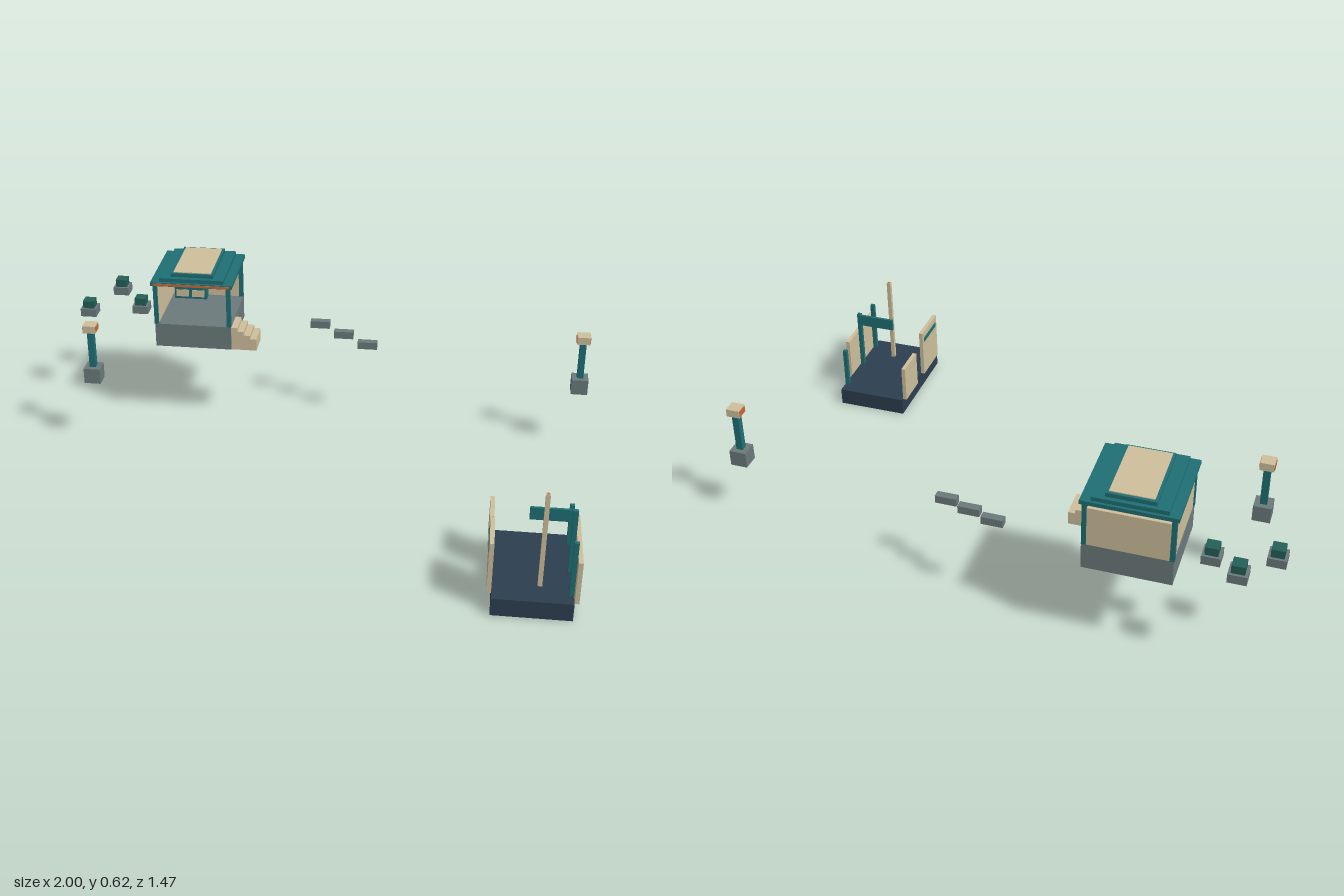
import * as THREE from 'three';

const paint = (c) => new THREE.MeshStandardMaterial({ color: c });
const teal = paint(0x1f6f75), navy = paint(0x2c3e50), stone = paint(0x6b7a7c);
const cream = paint(0xcfc09c), orange = paint(0xc8693a), leaf = paint(0x245f57);

// Box given by its extents on each axis
function block(parent, name, mat, [x0, x1], [y0, y1], [z0, z1]) {
  const mesh = new THREE.Mesh(new THREE.BoxGeometry(x1 - x0, y1 - y0, z1 - z0), mat);
  mesh.position.set((x0 + x1) / 2, (y0 + y1) / 2, (z0 + z1) / 2);
  mesh.name = name;
  parent.add(mesh);
  return mesh;
}

const around = (c, size) => [c - size / 2, c + size / 2];

function group(parent, name) {
  const g = new THREE.Group();
  g.name = name;
  parent.add(g);
  return g;
}

function addPavilion(root) {
  const g = group(root, 'pavilion');
  block(g, 'plinth', stone, [-0.67, -0.373], [0.32, 0.415], [-0.706, -0.405]);
  block(g, 'backWall', cream, [-0.66, -0.385], [0.415, 0.56], [-0.706, -0.694]);
  block(g, 'sideWall', cream, [-0.668, -0.656], [0.415, 0.56], [-0.7, -0.415]);
  for (const x of [-0.664, -0.381])
    for (const z of [-0.699, -0.413])
      block(g, 'cornerPost', teal, around(x, 0.016), [0.415, 0.578], around(z, 0.016));

  // Stepped roof
  block(g, 'eaves', teal, [-0.68, -0.365], [0.576, 0.59], [-0.713, -0.4]);
  block(g, 'eavesTrim', orange, [-0.67, -0.375], [0.578, 0.587], [-0.4, -0.398]);
  block(g, 'middleRoof', teal, [-0.646, -0.399], [0.59, 0.605], [-0.704, -0.411]);
  block(g, 'upperRoof', teal, [-0.604, -0.441], [0.605, 0.62], [-0.69, -0.428]);
  block(g, 'roofPanel', cream, [-0.595, -0.45], [0.62, 0.623], [-0.68, -0.436]);

  // Cabinet with two front panels
  block(g, 'cabinet', teal, [-0.642, -0.513], [0.415, 0.462], [-0.687, -0.647]);
  for (const x of [-0.61, -0.547])
    block(g, 'cabinetPanel', cream, around(x, 0.05), [0.424, 0.453], [-0.647, -0.645]);

  // Side stairs
  for (let i = 0; i < 4; i++)
    block(g, 'stairStep', cream, [-0.373 + i * 0.0245, -0.3485 + i * 0.0245],
      [0.32, 0.412 - i * 0.015], [-0.51, -0.408]);
}

function addLantern(root, x, y, z) {
  const g = group(root, 'lantern');
  block(g, 'lanternBase', stone, around(x, 0.062), [y, y + 0.06], around(z, 0.062));
  block(g, 'lanternPole', teal, around(x, 0.024), [y + 0.06, y + 0.207], around(z, 0.024));
  block(g, 'lanternHead', cream, around(x, 0.048), [y + 0.207, y + 0.236], around(z, 0.048));
  for (const s of [-1, 1])
    block(g, 'lanternGlow', orange, around(x + s * 0.0245, 0.003), [y + 0.211, y + 0.232], around(z, 0.038));
}

function addPlanter(root, x, y, z) {
  const g = group(root, 'planter');
  block(g, 'planterBox', stone, around(x, 0.062), [y, y + 0.032], around(z, 0.062));
  block(g, 'planterShrub', leaf, around(x, 0.044), [y + 0.032, y + 0.062], around(z, 0.044));
}

function addDock(root) {
  const g = group(root, 'dock');
  block(g, 'dockBase', navy, [0.66, 0.925], [0, 0.065], [0.34, 0.735]);

  // Side panels
  block(g, 'rightFrontPanel', cream, [0.645, 0.66], [0.065, 0.256], [0.55, 0.705]);
  block(g, 'rightRearPanel', cream, [0.645, 0.66], [0.065, 0.208], [0.35, 0.475]);
  block(g, 'leftPanel', cream, [0.925, 0.94], [0.065, 0.222], [0.452, 0.73]);
  block(g, 'rightPanelStripe', teal, [0.643, 0.645], [0.212, 0.23], [0.565, 0.69]);
  for (const z of [0.635, 0.692])
    block(g, 'leftPanelStripe', teal, [0.94, 0.942], [0.11, 0.2], around(z, 0.003));

  // Posts along the left edge, the middle one carrying a beam
  for (const [z, top] of [[0.392, 0.222], [0.551, 0.303], [0.685, 0.27]])
    block(g, 'edgePost', teal, [0.909, 0.925], [0.065, top], around(z, 0.014));
  block(g, 'signBeam', teal, [0.77, 0.918], [0.256, 0.301], around(0.545, 0.01));

  // Tall mast
  block(g, 'mast', cream, around(0.817, 0.015), [0.065, 0.415], around(0.641, 0.015));
  block(g, 'mastCap', orange, around(0.817, 0.008), [0.415, 0.417], around(0.641, 0.008));
}

export function createModel() {
  const root = new THREE.Group();
  root.name = 'courtyard';
  addPavilion(root);
  addDock(root);
  addLantern(root, -0.87, 0.26, -0.208);
  addLantern(root, 0.966, 0.226, -0.408);
  addPlanter(root, -0.969, 0.37, -0.556);
  addPlanter(root, -0.87, 0.402, -0.704);
  addPlanter(root, -0.771, 0.37, -0.606);

  // Stepping stones
  for (let i = 0; i < 3; i++) {
    const y = 0.34 - i * 0.016;
    block(root, 'steppingStone', stone, around(-0.049 + i * 0.098, 0.076), [y, y + 0.029],
      around(-0.607 + i * 0.049, 0.028));
  }
  return root;
}
